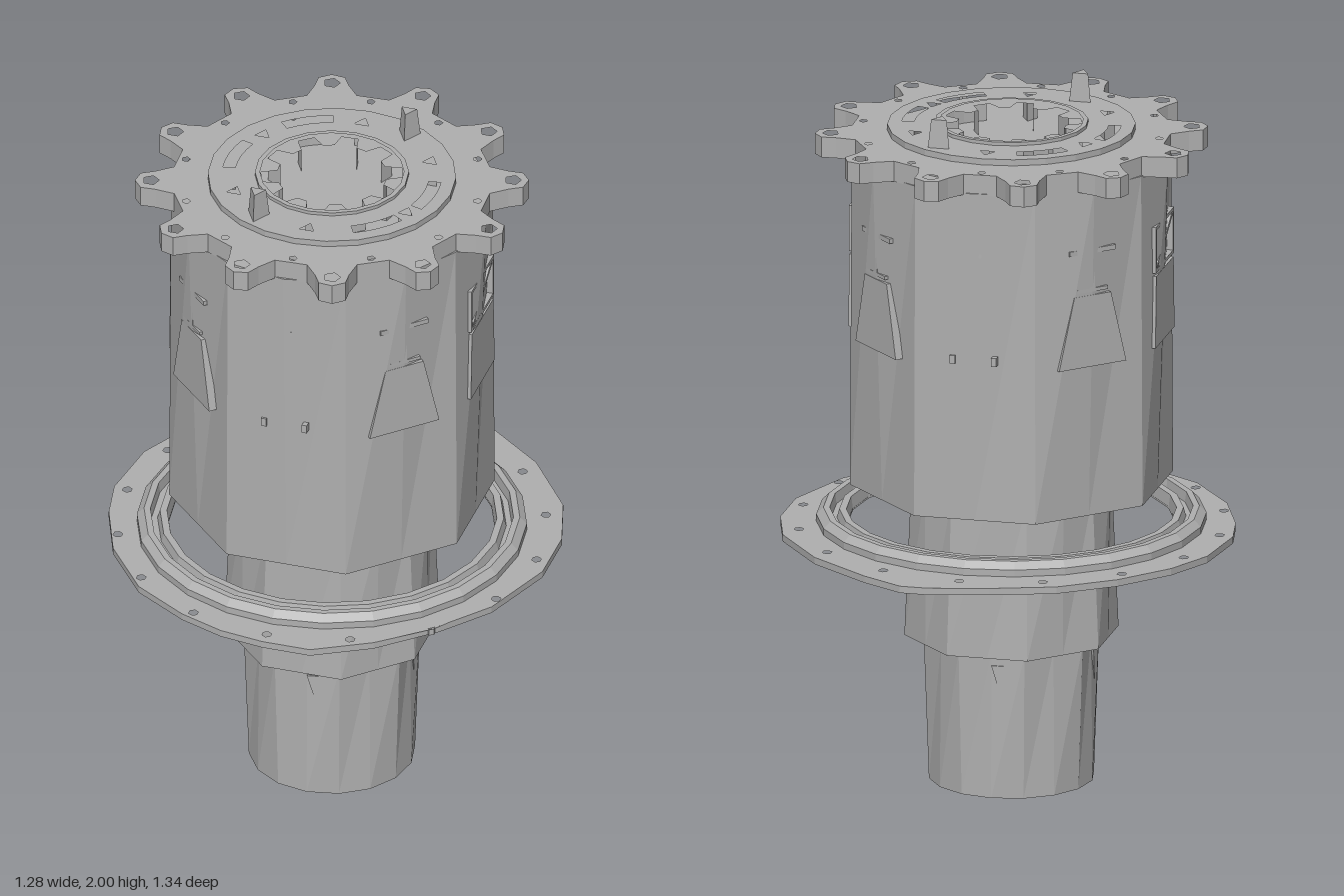
import * as THREE from 'three';

const steel = new THREE.MeshStandardMaterial({ color: 0xb0b0b0 });
steel.name = 'steel grey';
const D = Math.PI / 180;

// Adds a mesh with faceted normals
function add(parent, name, geometry) {
  const g = geometry.index ? geometry.toNonIndexed() : geometry;
  g.computeVertexNormals();
  const mesh = new THREE.Mesh(g, steel);
  mesh.name = name;
  parent.add(mesh);
  return mesh;
}

// Plan point: angle in degrees clockwise from the back
const polar = (r, a) => new THREE.Vector2(r * Math.sin(a * D), r * Math.cos(a * D));
const circle = (r, n, cx = 0, cy = 0) => Array.from({ length: n }, (_, i) => {
  const p = polar(r, i * 360 / n);
  return new THREE.Vector2(p.x + cx, p.y + cy);
});
const holeAt = (r, a, size, n) => { const p = polar(r, a); return circle(size, n, p.x, p.y); };

// Horizontal plate with holes, from y0 to y1
function plate(outline, holes, y0, y1) {
  const shape = new THREE.Shape(outline);
  shape.holes = holes.map(h => new THREE.Path(h));
  const g = new THREE.ExtrudeGeometry(shape, { depth: y1 - y0, bevelEnabled: false });
  return g.rotateX(-Math.PI / 2).translate(0, y0, 0);
}

// Drum that is octagonal at one end and sixteen-sided at the other
function drum(rTop, rBottom, y0, y1, octagonTop) {
  const g = new THREE.CylinderGeometry(rTop, rBottom, y1 - y0, 16, 1);
  const p = g.attributes.position;
  for (let i = 0; i < p.count; i++) {
    const x = p.getX(i), z = p.getZ(i);
    const step = Math.round(Math.atan2(x, z) / (22.5 * D));
    if ((p.getY(i) > 0) === octagonTop && step % 2 === 0) {
      const s = Math.cos(22.5 * D);
      p.setX(i, x * s);
      p.setZ(i, z * s);
    }
  }
  return g.translate(0, (y0 + y1) / 2, 0);
}

export function createModel() {
  const model = new THREE.Group();
  model.name = 'flangedDrum';
  const zc = 0.025;
  const unit = new THREE.Group();
  unit.name = 'drumAssembly';
  unit.position.z = zc;
  model.add(unit);

  // Stepped shaft and main drum
  add(unit, 'lowerShaft', drum(0.25, 0.235, 0, 0.425, true));
  add(unit, 'middleShaft', drum(0.285, 0.305, 0.425, 0.875, false));
  add(unit, 'mainDrum', drum(0.455, 0.46, 0.875, 1.845, false));

  // Small wedges at the top of the lower shaft
  for (const a of [10, 100, 190, 280]) {
    const tri = new THREE.Shape([[0, 0.39], [0.03, 0.29], [0.1, 0.39]].map(q => new THREE.Vector2(...q)));
    const g = new THREE.ExtrudeGeometry(tri, { depth: 0.015, bevelEnabled: false });
    add(unit, 'shaftWedge', g.translate(-0.04, 0, 0.22).rotateY(a * D));
  }

  // Loose mounting ring: uneven outline, sixteen bolt holes, inner pin holes
  const outline = [
    [0.07, -0.67], [0.15, -0.67], [0.27, -0.6], [0.45, -0.46], [0.59, -0.27], [0.64, -0.1],
    [0.64, 0.08], [0.56, 0.3], [0.45, 0.44], [0.3, 0.58], [0.14, 0.67], [0, 0.67], [-0.13, 0.65],
    [-0.26, 0.6], [-0.42, 0.5], [-0.55, 0.33], [-0.62, 0.15], [-0.645, 0.02], [-0.62, -0.18],
    [-0.55, -0.32], [-0.43, -0.46], [-0.28, -0.57], [-0.1, -0.63]
  ].map(([x, z]) => new THREE.Vector2(x, zc - z));
  const ringHoles = [circle(0.46, 24)];
  for (let i = 0; i < 16; i++) ringHoles.push(holeAt(0.605, i * 22.5, 0.014, 6));
  add(unit, 'mountingRing', plate(outline, ringHoles, 0.73, 0.75));

  // Double-ridged collar standing on the ring
  const collar = [
    [0.46, 0.745], [0.55, 0.745], [0.55, 0.77], [0.53, 0.79], [0.512, 0.79], [0.508, 0.76],
    [0.492, 0.76], [0.485, 0.785], [0.465, 0.785], [0.46, 0.745]
  ].map(q => new THREE.Vector2(...q));
  add(unit, 'ringCollar', new THREE.LatheGeometry(collar, 24));

  // Top flange with twelve pierced lugs
  const flange = [], flangeHoles = [circle(0.345, 24)];
  for (let i = 0; i < 12; i++) {
    const a = 12.3 + i * 30;
    flange.push(polar(0.45, a - 9), polar(0.5, a - 5.5), polar(0.54, a - 4), polar(0.555, a),
      polar(0.54, a + 4), polar(0.5, a + 5.5), polar(0.45, a + 9));
    flangeHoles.push(holeAt(0.51, a, 0.024, 5), holeAt(0.425, a - 15, 0.012, 5));
  }
  add(unit, 'topFlange', plate(flange, flangeHoles, 1.84, 1.9));

  // Raised hub plate with toothed bore, curved slots and triangular pockets
  const bore = [];
  for (let i = 0; i < 10; i++) {
    const a = 15 + i * 36;
    bore.push(polar(0.2, a - 11), polar(0.155, a - 6), polar(0.155, a + 6), polar(0.2, a + 11));
  }
  const hubHoles = [bore];
  for (const a of [-31, 94, 137, 274]) {
    const slot = [];
    for (let k = -2; k <= 2; k++) slot.push(polar(0.31, a + k * 7));
    for (let k = 2; k >= -2; k--) slot.push(polar(0.275, a + k * 7));
    hubHoles.push(slot);
  }
  for (const a of [0, 58, 115.5, 176, 235, 300]) hubHoles.push(holeAt(0.287, a, 0.024, 3));
  add(unit, 'hubPlate', plate(circle(0.35, 24), hubHoles, 1.84, 1.918));
  add(unit, 'boreLip', plate(circle(0.217, 20), [circle(0.203, 20)], 1.915, 1.928));

  // Two upright prongs
  for (const a of [28, 207]) {
    const p = polar(0.3, a);
    add(unit, 'prong', new THREE.CylinderGeometry(0.026, 0.038, 0.1, 3))
      .position.set(p.x, 1.95, -p.y);
  }

  // Side panels: four lower pads on the diagonals, framed windows on the flanks
  const bar = (parent, name, w, h, x, y, tilt = 0) => {
    const m = add(parent, name, new THREE.BoxGeometry(w, h, 0.02));
    m.position.set(x, y, 0.436);
    m.rotation.z = tilt;
  };
  for (let i = 0; i < 8; i++) {
    const panel = new THREE.Group();
    panel.name = 'sidePanel';
    panel.rotation.y = i * 45 * D;
    unit.add(panel);
    if (i % 4 === 0) {
      // Plain faces carry only small studs
      for (const x of [-0.06, 0.06]) bar(panel, 'stud', 0.015, 0.025, x, 1.35);
      bar(panel, 'shortBar', 0.05, 0.012, 0, 1.66);
      continue;
    }
    const top = i % 2 ? 0.06 : 0.1;
    const pad = new THREE.Shape([[-0.11, 1.32], [0.11, 1.32], [top, 1.53], [-top, 1.53]]
      .map(q => new THREE.Vector2(...q)));
    add(panel, 'lowerPad', new THREE.ExtrudeGeometry(pad, { depth: 0.024, bevelEnabled: false })
      .translate(0, 0, 0.422));
    if (i % 2) {
      bar(panel, 'crossBar', 0.15, 0.014, 0, 1.66);
      bar(panel, 'stem', 0.014, 0.12, 0, 1.6);
      bar(panel, 'foot', 0.1, 0.01, 0, 1.545);
    } else {
      for (const y of [1.545, 1.67]) bar(panel, 'windowRail', 0.21, 0.01, 0, y);
      for (const x of [-0.1, 0.1]) bar(panel, 'windowPost', 0.01, 0.125, x, 1.608);
      bar(panel, 'windowBrace', 0.2, 0.012, 0, 1.608, 0.56);
    }
  }
  return model;
}
